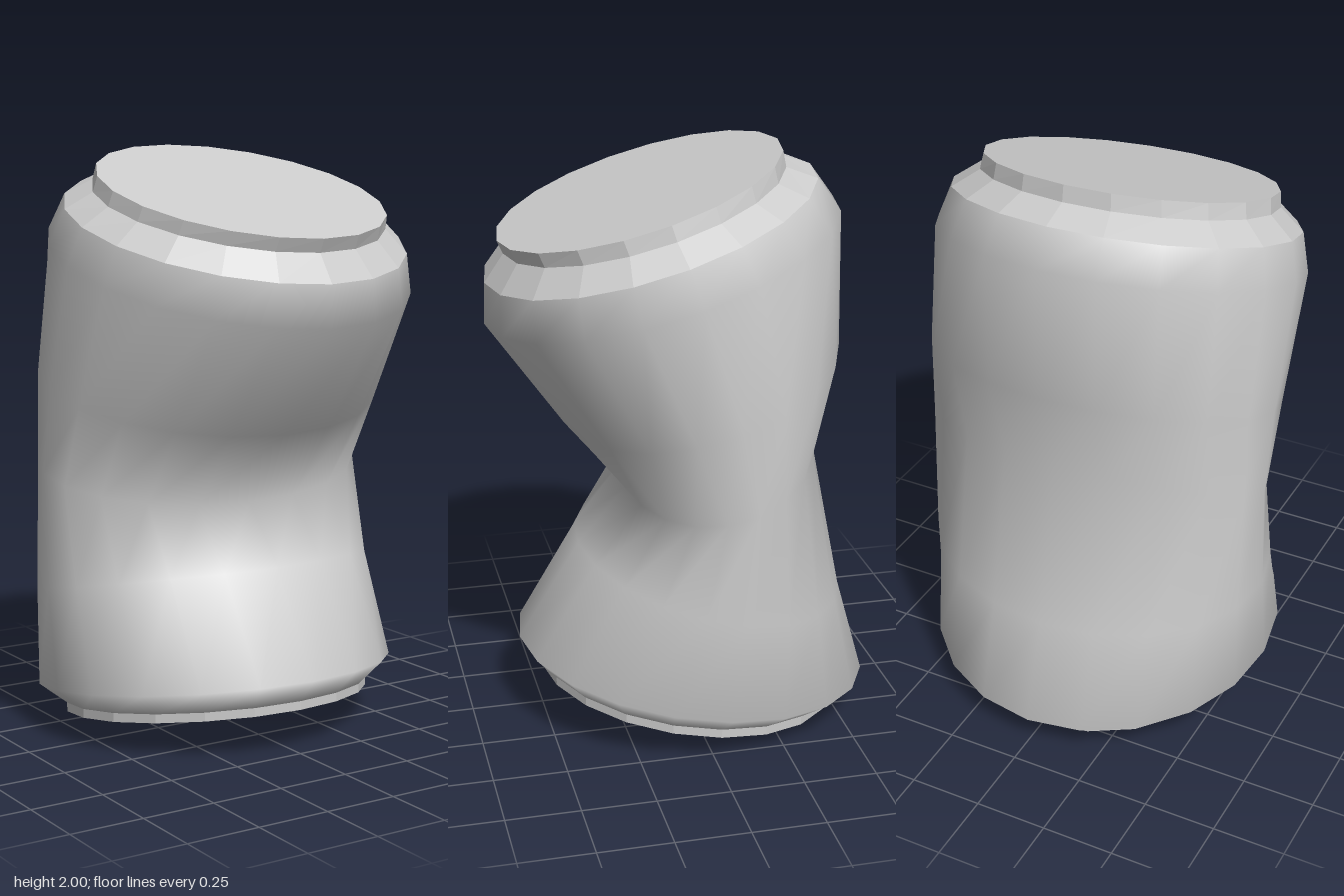
import * as THREE from 'three';

const SIDES = 20;
const material = new THREE.MeshStandardMaterial({ color: 0xcccccc });
const flatMaterial = new THREE.MeshStandardMaterial({ color: 0xcccccc, flatShading: true });

// Tilted elliptical rings: [front z, front y, back z, back y, half width], bottom to top
const bottomEdge = [0.50, 0.155, -0.55, 0.005, 0.53];
const bottomSeam = [0.50, 0.185, -0.55, 0.037, 0.53];
const shoulderLow = [0.655, 1.57, -0.45, 1.91, 0.585];
const shoulderTop = [0.59, 1.665, -0.345, 1.945, 0.5];
const topEdge = [0.61, 1.71, -0.335, 2.0, 0.49];
const wall = [
  bottomSeam,
  [0.575, 0.27, -0.655, 0.10, 0.62],
  [0.36, 0.61, -0.55, 0.45, 0.62],
  [0.19, 0.805, -0.43, 1.03, 0.62], // crushed waist
  [0.40, 1.06, -0.53, 1.34, 0.62],
  [0.66, 1.43, -0.53, 1.80, 0.62],
  shoulderLow,
];

// Ring shrunk to its own centre, for closing the ends
const centre = ([fz, fy, bz, by]) => {
  const z = (fz + bz) / 2, y = (fy + by) / 2;
  return [z, y, z, y, 0];
};

// Skin through a list of rings
function loft(name, rings, smooth) {
  const pos = [], index = [];
  for (const [fz, fy, bz, by, w] of rings) {
    for (let j = 0; j < SIDES; j++) {
      const a = (j / SIDES) * Math.PI * 2;
      const c = Math.cos(a);
      pos.push(w * Math.sin(a), (fy + by) / 2 + (fy - by) / 2 * c, (fz + bz) / 2 + (fz - bz) / 2 * c);
    }
  }
  for (let i = 0; i < rings.length - 1; i++) {
    for (let j = 0; j < SIDES; j++) {
      const k = (j + 1) % SIDES;
      const a = i * SIDES + j, b = i * SIDES + k;
      const c = b + SIDES, d = a + SIDES;
      if (rings[i][4] > 0) index.push(a, b, c);
      if (rings[i + 1][4] > 0) index.push(a, c, d);
    }
  }
  let geometry = new THREE.BufferGeometry();
  geometry.setAttribute('position', new THREE.Float32BufferAttribute(pos, 3));
  geometry.setIndex(index);
  if (!smooth) geometry = geometry.toNonIndexed();
  geometry.computeVertexNormals();
  const mesh = new THREE.Mesh(geometry, smooth ? material : flatMaterial);
  mesh.name = name;
  return mesh;
}

export function createModel() {
  const can = new THREE.Group();
  can.name = 'crushedCan';
  can.add(
    loft('bottomLid', [centre(bottomEdge), bottomEdge], false),
    loft('bottomRim', [bottomEdge, bottomSeam], false),
    loft('crushedWall', wall, true),
    loft('shoulder', [shoulderLow, shoulderTop], false),
    loft('topRim', [shoulderTop, topEdge], false),
    loft('topLid', [topEdge, centre(topEdge)], false),
  );
  return can;
}
